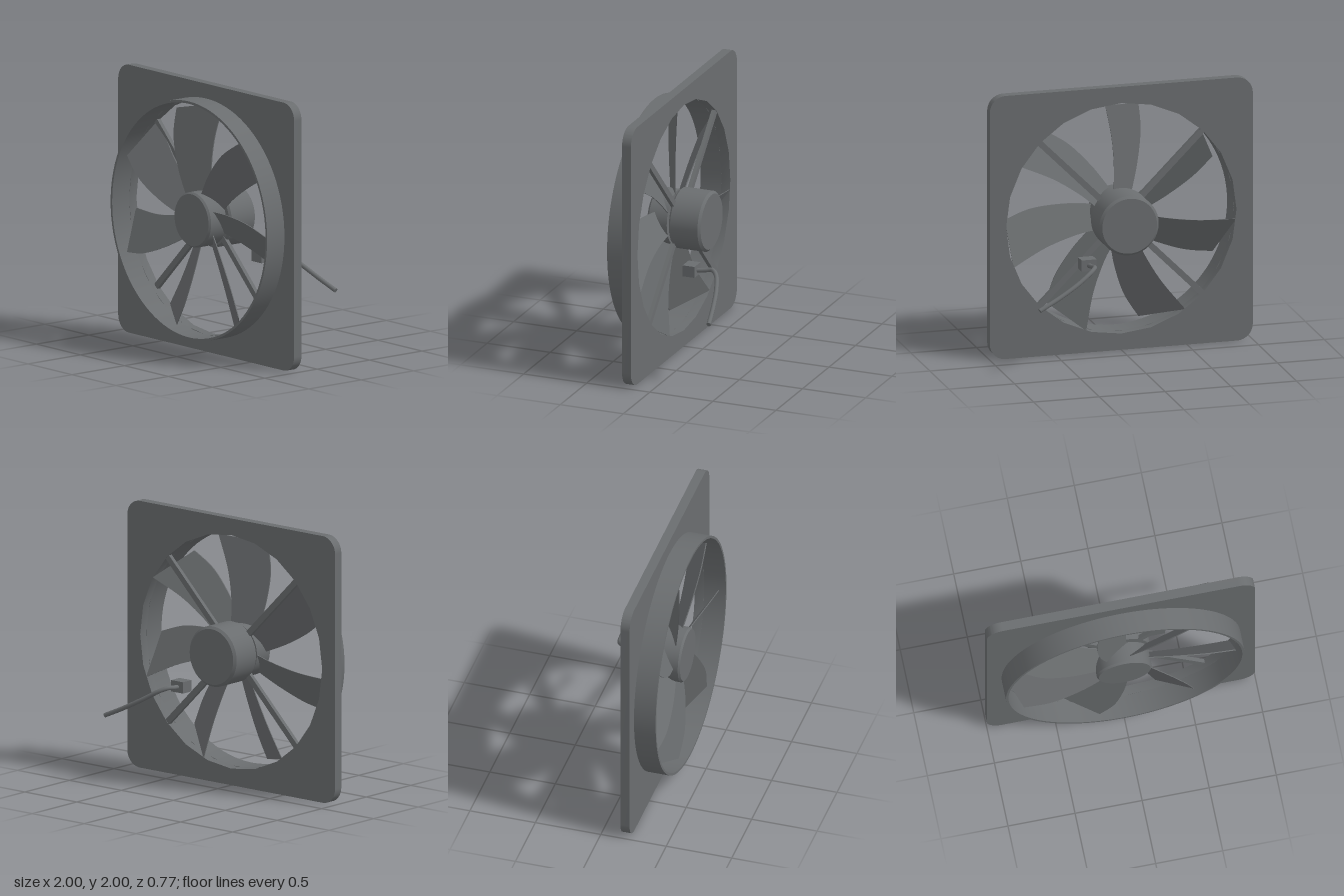
import * as THREE from 'three';
import { toCreasedNormals } from 'three/addons/utils/BufferGeometryUtils.js';

const CENTRE_Y = 1;
const darkGrey = new THREE.MeshStandardMaterial({ color: 0x6a6d6f });

function part(parent, name, geometry) {
  const mesh = new THREE.Mesh(geometry, darkGrey);
  mesh.name = name;
  parent.add(mesh);
  return mesh;
}

// Turned part around the z axis; profile is [radius, z], running from back to front outside
function turned(profile, segments = 64) {
  const g = new THREE.LatheGeometry(profile.map(([r, z]) => new THREE.Vector2(r, z)), segments);
  g.rotateX(Math.PI / 2);
  return toCreasedNormals(g, 0.5);
}

// Square plate with rounded corners and a faceted round opening
function plateGeometry() {
  const r = 0.12, k = 1 - r;
  const shape = new THREE.Shape();
  [[k, k], [-k, k], [-k, -k], [k, -k]].forEach(([x, y], i) =>
    shape.absarc(x, y, r, i * Math.PI / 2, (i + 1) * Math.PI / 2, false));
  const hole = new THREE.Path();
  for (let i = 0; i < 24; i++) {
    const a = -i / 24 * Math.PI * 2;
    const x = 0.876 * Math.cos(a), y = 0.876 * Math.sin(a);
    if (i === 0) hole.moveTo(x, y); else hole.lineTo(x, y);
  }
  hole.closePath();
  shape.holes.push(hole);
  const g = new THREE.ExtrudeGeometry(shape, { depth: 0.07, bevelEnabled: false, curveSegments: 10 });
  g.translate(0, 0, 0.15);
  return toCreasedNormals(g, 0.4);
}

// Flat sheet blade with a swept outline, pitched by shearing z along x
function bladeGeometry() {
  const points = (list) => list.map(([x, y]) => new THREE.Vector2(x, y));
  const shape = new THREE.Shape();
  shape.moveTo(0.045, 0.19);
  shape.splineThru(points([[0.04, 0.36], [0.062, 0.6], [0.122, 0.868]]));
  shape.lineTo(-0.185, 0.81);
  shape.splineThru(points([[-0.205, 0.6], [-0.175, 0.36], [-0.12, 0.15]]));
  shape.closePath();
  const g = new THREE.ExtrudeGeometry(shape, { depth: 0.008, bevelEnabled: false, curveSegments: 12 });
  const p = g.attributes.position;
  for (let i = 0; i < p.count; i++) p.setZ(i, p.getZ(i) + 0.225 - 0.62 * p.getX(i));
  return toCreasedNormals(g, 0.5);
}

export function createModel() {
  const group = new THREE.Group();
  const fan = new THREE.Group();
  fan.name = 'fan';
  fan.position.y = CENTRE_Y;
  group.add(fan);

  // Housing
  part(fan, 'mountingPlate', plateGeometry());
  part(fan, 'ductRing', turned(
    [[0.89, 0.22], [0.89, 0.385], [0.872, 0.385], [0.872, 0.22], [0.89, 0.22]], 96));

  // Motor at the back with a chamfered rear cap and a collar towards the hub
  part(fan, 'motor', turned([[0, -0.07], [0.208, -0.07], [0.226, -0.052], [0.226, 0.165],
    [0.212, 0.18], [0.15, 0.18], [0.15, 0.21], [0, 0.21]]));

  // Rotor: hub and seven blades
  const rotor = new THREE.Group();
  rotor.name = 'rotor';
  fan.add(rotor);
  part(rotor, 'hub', turned([[0, 0.2], [0.205, 0.2], [0.205, 0.345], [0.193, 0.36], [0, 0.36]]));
  const blade = bladeGeometry();
  for (let i = 0; i < 7; i++) {
    part(rotor, 'blade', blade).rotation.z = i / 7 * Math.PI * 2;
  }

  // Four diagonal struts carrying the motor
  const strut = new THREE.BoxGeometry(0.68, 0.045, 0.03);
  strut.translate(0.535, 0, 0.168);
  for (let i = 0; i < 4; i++) {
    part(fan, 'strut', strut).rotation.z = Math.PI / 4 + i * Math.PI / 2;
  }

  // Connection box and power cable
  part(group, 'connectionBox', new THREE.BoxGeometry(0.113, 0.085, 0.094))
    .position.set(0.315, 0.732, -0.043);
  const path = new THREE.CatmullRomCurve3([
    [0.315, 0.73, -0.08], [0.304, 0.737, -0.15], [0.302, 0.745, -0.2], [0.345, 0.725, -0.25],
    [0.46, 0.655, -0.3], [0.61, 0.575, -0.338], [0.77, 0.5, -0.37],
  ].map((p) => new THREE.Vector3(...p)));
  part(group, 'cable', new THREE.TubeGeometry(path, 40, 0.017, 12));
  const end = part(group, 'cableEnd', new THREE.CircleGeometry(0.017, 12));
  end.position.copy(path.getPoint(1));
  end.lookAt(path.getPoint(1).add(path.getTangent(1)));

  return group;
}
